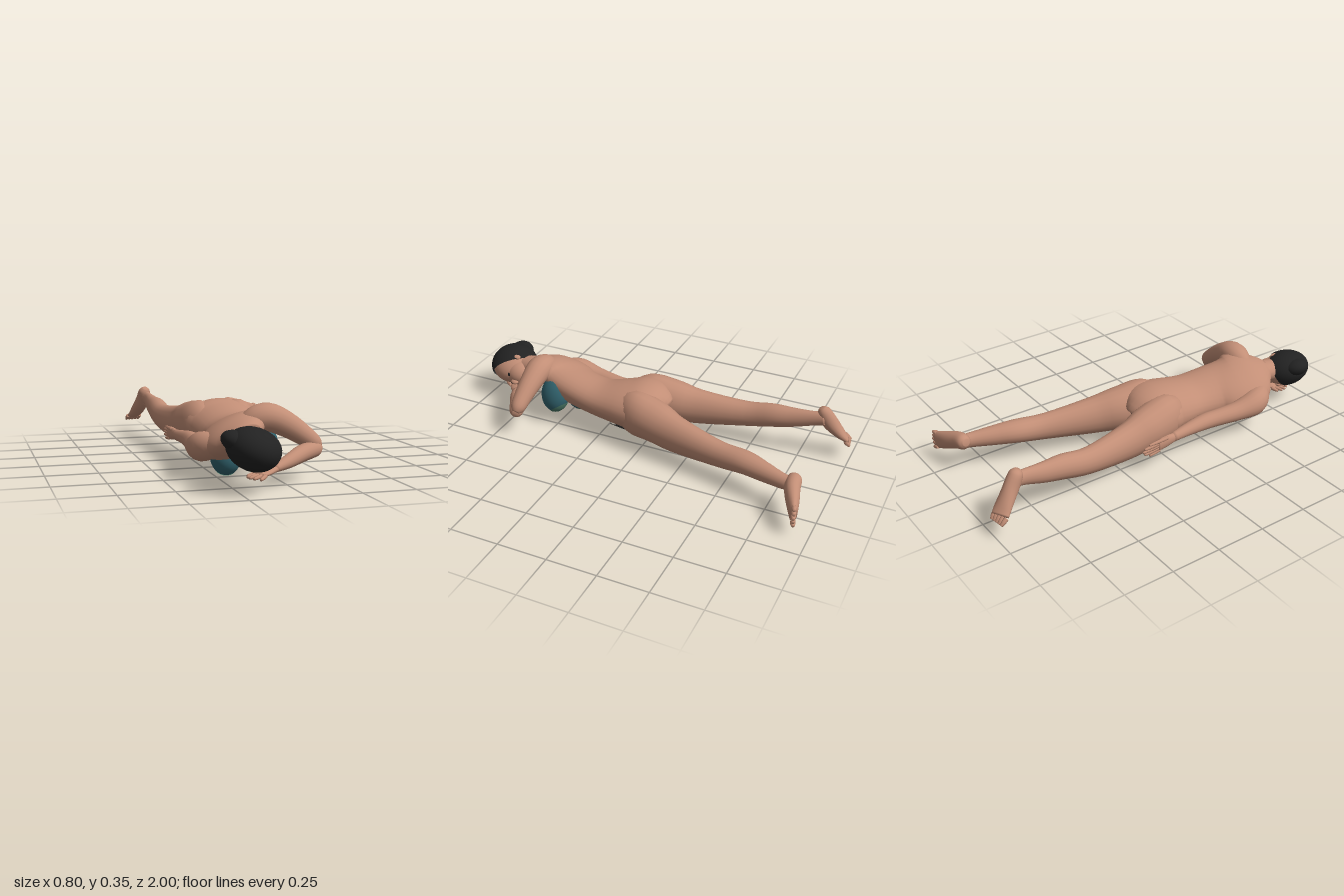
import * as THREE from 'three';
import { mergeVertices } from 'three/addons/utils/BufferGeometryUtils.js';

const paint = (name, color, side = THREE.FrontSide) => {
  const m = new THREE.MeshStandardMaterial({ color, side });
  m.name = name;
  return m;
};

// Catmull-Rom sample of a list of rows [x, y, z, halfWidth, halfHeight, roll]
function sampleRow(rows, u) {
  const n = rows.length - 1, i = Math.min(n - 1, Math.floor(u)), f = u - i;
  const r = (k) => rows[Math.max(0, Math.min(n, k))];
  return [0, 1, 2, 3, 4, 5].map((c) => {
    const [a, b, d, e] = [r(i - 1), r(i), r(i + 1), r(i + 2)].map((q) => q[c] ?? (c === 4 ? q[3] : 0));
    return 0.5 * (2 * b + (d - a) * f + (2 * a - 5 * b + 4 * d - e) * f * f + (3 * b - a - 3 * d + e) * f ** 3);
  });
}

// Elliptical skin along the rows; arc(u) limits it to a patch around the section
function loft(rows, { sides = 18, from = 0, to = rows.length - 1, offset = 0, arc = null } = {}) {
  const steps = Math.ceil((to - from) * 4), pos = [], idx = [];
  const rings = [];
  for (let i = 0; i <= steps; i++) rings.push([from + ((to - from) * i) / steps, 1]);
  if (!arc) { rings.unshift([from, 0]); rings.push([to, 0]); }
  for (const [u, s] of rings) {
    const [x, y, z, a, b, roll] = sampleRow(rows, u);
    const p = sampleRow(rows, Math.max(0, u - 0.1)), q = sampleRow(rows, Math.min(rows.length - 1, u + 0.1));
    const t = new THREE.Vector3(q[0] - p[0], q[1] - p[1], q[2] - p[2]).normalize();
    const side = new THREE.Vector3(0, 1, 0).cross(t).normalize();
    const up = t.clone().cross(side);
    // roll is given about +z, so flip it for parts that run toward -z
    const turn = t.z < 0 ? -roll : roll;
    side.applyAxisAngle(t, turn);
    up.applyAxisAngle(t, turn);
    const [mid, half] = arc ? arc(u) : [0, Math.PI];
    for (let j = 0; j <= sides; j++) {
      const g = mid - half + (2 * half * j) / sides;
      const v = new THREE.Vector3(x, y, z)
        .addScaledVector(side, (a + offset) * s * Math.cos(g))
        .addScaledVector(up, (b + offset) * s * Math.sin(g));
      pos.push(v.x, v.y, v.z);
    }
  }
  const w = sides + 1;
  for (let i = 0; i < rings.length - 1; i++) for (let j = 0; j < sides; j++) {
    const k = i * w + j;
    idx.push(k, k + 1, k + w + 1, k, k + w + 1, k + w);
  }
  let geo = new THREE.BufferGeometry();
  geo.setAttribute('position', new THREE.Float32BufferAttribute(pos, 3));
  geo.setIndex(idx);
  geo = mergeVertices(geo, 1e-5);
  geo.computeVertexNormals();
  return geo;
}

export function createModel() {
  const root = new THREE.Group();
  root.name = 'recliningSwimmer';
  const skin = paint('skin', 0xc28e76);
  const hair = paint('hair', 0x222222, THREE.DoubleSide);
  const black = paint('blackFabric', 0x1c1c1c, THREE.DoubleSide);
  const teal = paint('tealFabric', 0x32646f);
  const green = paint('greenFabric', 0x4b7a68, THREE.DoubleSide);
  const lip = paint('lips', 0x9c5f54);

  const add = (name, geo, mat, parent = root) => {
    const m = new THREE.Mesh(geo, mat);
    m.name = name;
    parent.add(m);
    return m;
  };
  const ball = (name, mat, p, r, parent = root) => {
    const m = add(name, new THREE.SphereGeometry(1, 20, 14), mat, parent);
    m.position.set(...p);
    m.scale.set(...r);
    return m;
  };
  // Fingers or toes as short tapered rods between two points
  const digits = (name, count, start, end, r) => {
    const g = new THREE.Group();
    g.name = name;
    root.add(g);
    for (let i = 0; i < count; i++) {
      const k = i / (count - 1) - 0.5, a = start(k), b = end(k);
      const m = a.map((v, c) => (v + b[c]) / 2);
      add('digit', loft([[...a, r], [...m, r], [...b, r * 0.6]], { sides: 8 }), skin, g);
    }
  };

  // Torso, with the shoulders rolled so the left one is raised
  const torso = [
    [-0.175, 0.25, 0.72, 0.07, 0.045, 0.4], [-0.18, 0.255, 0.67, 0.115, 0.06, 0.42],
    [-0.185, 0.247, 0.60, 0.168, 0.08, 0.45], [-0.172, 0.224, 0.52, 0.172, 0.095, 0.42],
    [-0.13, 0.207, 0.42, 0.147, 0.095, 0.33], [-0.105, 0.195, 0.27, 0.146, 0.095, 0.2],
    [-0.105, 0.205, 0.12, 0.175, 0.118, 0.08], [-0.115, 0.21, 0.03, 0.188, 0.127, 0],
    [-0.12, 0.195, -0.04, 0.13, 0.108, 0], [-0.12, 0.185, -0.06, 0.04, 0.07, 0],
  ];
  add('torso', loft(torso, { sides: 28 }), skin);

  // Swim bottom: a triangle on the belly side, ending in a small gusset
  add('swimBottomFront', loft(torso, {
    from: 5.6, to: 8.7, offset: 0.009,
    arc: (u) => [-Math.PI / 2, 0.95 - 0.26 * Math.max(0, u - 6)],
  }), black);
  ball('swimBottomGusset', black, [-0.115, 0.172, -0.045], [0.036, 0.085, 0.045]);

  // Swim top cups, each with a lighter lower panel
  for (const [side, p, r, tilt] of [['left', [-0.033, 0.195, 0.525], [0.06, 0.098, 0.078], 0.3],
    ['right', [-0.2, 0.117, 0.47], [0.072, 0.083, 0.068], 0.12]]) {
    const cup = new THREE.Group();
    cup.name = side + 'Cup';
    cup.position.set(...p);
    cup.rotation.z = tilt;
    root.add(cup);
    ball('cupShell', teal, [0, 0, 0], r, cup);
    const panel = add('cupPanel', new THREE.SphereGeometry(1.03, 18, 6, 0, Math.PI * 2, 0, 0.72), green, cup);
    panel.geometry.rotateX(Math.PI + 0.5);
    panel.scale.set(...r);
  }

  // Legs, hip to ankle
  add('leftLeg', loft([
    [-0.055, 0.205, 0.17, 0.04, 0.05], [-0.022, 0.21, 0.06, 0.092, 0.118],
    [0.004, 0.2, -0.07, 0.1, 0.112], [0.047, 0.182, -0.21, 0.077, 0.097],
    [0.105, 0.175, -0.45, 0.057, 0.068], [0.135, 0.185, -0.6, 0.06, 0.058],
    [0.165, 0.183, -0.7, 0.048, 0.05], [0.2, 0.18, -0.82, 0.032, 0.038], [0.2, 0.185, -0.87, 0.03, 0.037],
  ]), skin);
  add('rightLeg', loft([
    [-0.17, 0.205, 0.17, 0.04, 0.05], [-0.207, 0.21, 0.06, 0.09, 0.118],
    [-0.229, 0.2, -0.07, 0.095, 0.112], [-0.252, 0.182, -0.21, 0.072, 0.095],
    [-0.285, 0.185, -0.45, 0.056, 0.068], [-0.29, 0.21, -0.6, 0.052, 0.062],
    [-0.294, 0.222, -0.7, 0.04, 0.052], [-0.298, 0.24, -0.8, 0.028, 0.04], [-0.306, 0.25, -0.86, 0.028, 0.037],
  ]), skin);

  // Feet and toes
  add('leftFoot', loft([
    [0.158, 0.2, -0.858, 0.018], [0.18, 0.195, -0.86, 0.036, 0.038], [0.235, 0.18, -0.868, 0.038, 0.043],
    [0.3, 0.155, -0.893, 0.031, 0.046], [0.365, 0.133, -0.918, 0.018, 0.047],
  ]), skin);
  digits('leftToes', 5, (k) => [0.36, 0.133 + k * 0.078, -0.917],
    (k) => [0.393 - Math.abs(k) * 0.015, 0.13 + k * 0.088, -0.927], 0.012);
  add('rightFoot', loft([
    [-0.311, 0.305, -0.838, 0.015], [-0.313, 0.283, -0.85, 0.033, 0.034], [-0.322, 0.225, -0.885, 0.036, 0.04],
    [-0.342, 0.165, -0.935, 0.043, 0.027], [-0.358, 0.133, -0.965, 0.044, 0.016],
  ]), skin);
  digits('rightToes', 5, (k) => [-0.357 + k * 0.072, 0.133, -0.962 - k * 0.02],
    (k) => [-0.363 + k * 0.07, 0.108, -0.988 - k * 0.01], 0.011);

  // Left arm folded under the head
  add('leftUpperArm', loft([
    [-0.18, 0.275, 0.61, 0.02], [-0.12, 0.303, 0.615, 0.056], [-0.045, 0.316, 0.62, 0.068, 0.065],
    [0.04, 0.28, 0.625, 0.058], [0.12, 0.228, 0.632, 0.047], [0.17, 0.19, 0.635, 0.038],
    [0.192, 0.172, 0.637, 0.02],
  ]), skin);
  add('leftForearm', loft([
    [0.198, 0.168, 0.632, 0.018], [0.17, 0.168, 0.645, 0.036], [0.09, 0.157, 0.69, 0.039],
    [0, 0.135, 0.755, 0.03], [-0.08, 0.117, 0.8, 0.022, 0.018],
  ]), skin);
  add('leftHand', loft([
    [-0.07, 0.118, 0.795, 0.022, 0.017], [-0.12, 0.109, 0.82, 0.036, 0.015], [-0.165, 0.102, 0.845, 0.037, 0.011],
  ]), skin);
  digits('leftFingers', 5, (k) => [-0.155 + k * 0.03, 0.102, 0.84 + k * 0.065],
    (k) => [-0.21 + k * 0.03 + k * k * 0.08, 0.096, 0.87 + k * 0.1], 0.0095);

  // Right arm resting along the side
  add('rightArm', loft([
    [-0.24, 0.215, 0.635, 0.03], [-0.29, 0.2, 0.595, 0.055], [-0.328, 0.183, 0.53, 0.064, 0.068],
    [-0.328, 0.17, 0.42, 0.05], [-0.312, 0.165, 0.3, 0.043], [-0.306, 0.165, 0.22, 0.041],
    [-0.313, 0.162, 0.1, 0.031], [-0.325, 0.16, 0.01, 0.021, 0.024],
  ]), skin);
  add('rightHand', loft([
    [-0.325, 0.16, 0.02, 0.019, 0.023], [-0.332, 0.158, -0.04, 0.016, 0.032], [-0.338, 0.155, -0.09, 0.012, 0.031],
  ]), skin);
  digits('rightFingers', 5, (k) => [-0.338, 0.155 + k * 0.05, -0.08 + Math.max(0, k - 0.25) * 0.2],
    (k) => [-0.343, 0.15 + k * 0.058, -0.18 + k * k * 0.15], 0.0095);

  // Neck
  add('neck', loft([
    [-0.17, 0.25, 0.63, 0.09, 0.06], [-0.175, 0.24, 0.72, 0.07, 0.055], [-0.185, 0.225, 0.82, 0.055],
  ]), skin);

  // Head, facing the left side and tipped a little downward
  const head = new THREE.Group();
  head.name = 'head';
  head.position.set(-0.19, 0.218, 0.87);
  head.rotation.z = -0.36;
  root.add(head);
  ball('skull', skin, [0, 0, 0], [0.118, 0.088, 0.12], head);
  ball('jaw', skin, [0.05, 0, -0.065], [0.072, 0.068, 0.085], head);
  ball('nose', skin, [0.12, 0, -0.065], [0.018, 0.012, 0.022], head);
  ball('mouth', lip, [0.111, 0, -0.105], [0.01, 0.023, 0.007], head);
  for (const s of [-1, 1]) {
    ball('eye', black, [0.107, s * 0.032, -0.03], [0.007, 0.012, 0.006], head);
    ball('ear', skin, [0.015, s * 0.08, -0.04], [0.016, 0.01, 0.026], head);
  }

  // Hair cap over the crown and back of the head, with a low bun
  const cap = new THREE.SphereGeometry(1, 28, 16, 0, Math.PI * 2, 0, Math.PI * 0.57);
  cap.applyQuaternion(new THREE.Quaternion().setFromUnitVectors(
    new THREE.Vector3(0, 1, 0), new THREE.Vector3(-0.8, 0.22, 0.56).normalize()));
  add('hairCap', cap, hair, head).scale.set(0.125, 0.094, 0.129);
  ball('hairBun', hair, [-0.085, 0.008, 0], [0.07, 0.046, 0.068], head);

  return root;
}
